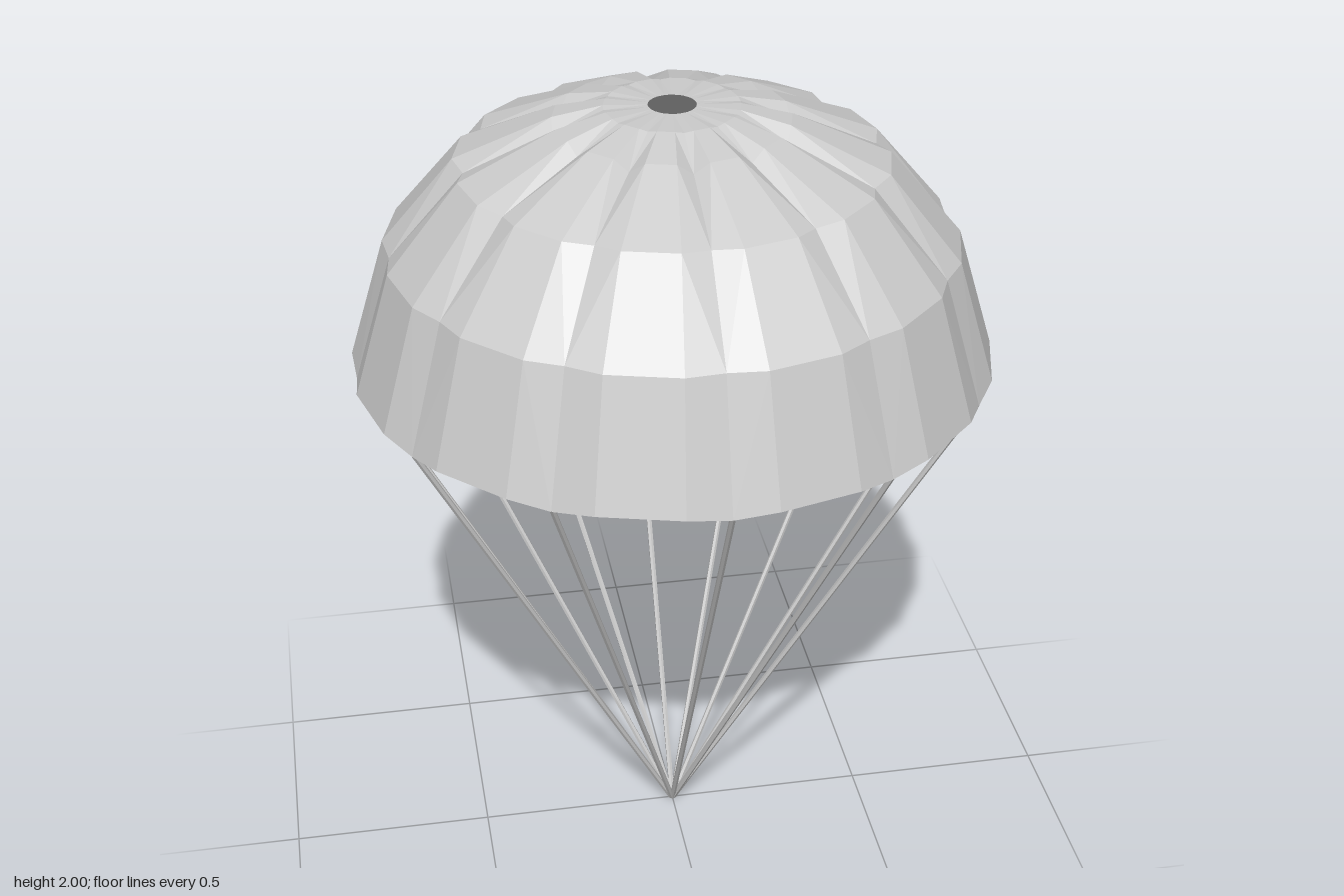
import * as THREE from 'three';

const GORES = 12;
const STEP = (Math.PI * 2) / GORES;
const BULGE = 0.134; // angle from a seam to the edge of the puffed panel

// Rings from hem to vent: [panel radius, panel y, seam radius, seam y]
const RINGS = [
  [0.757, 1.385, 0.745, 1.372],
  [0.667, 1.677, 0.651, 1.675],
  [0.497, 1.877, 0.474, 1.87],
  [0.27, 1.974, 0.27, 1.95],
  [0.155, 2.0, 0.155, 1.997],
  [0.055, 2.0, 0.055, 2.0],
];

const material = new THREE.MeshStandardMaterial({
  color: 0xcccccc, flatShading: true, side: THREE.DoubleSide,
});

// Creased dome: three columns per gore (seam, panel edge, panel edge)
function canopyGeometry() {
  const positions = [], index = [];
  const columns = GORES * 3;
  for (const [panelR, panelY, seamR, seamY] of RINGS) {
    for (let c = 0; c < columns; c++) {
      const k = c % 3;
      const angle = Math.floor(c / 3) * STEP + [0, BULGE, STEP - BULGE][k];
      const r = k === 0 ? seamR : panelR;
      positions.push(r * Math.sin(angle), k === 0 ? seamY : panelY, r * Math.cos(angle));
    }
  }
  for (let i = 0; i < RINGS.length - 1; i++) {
    for (let c = 0; c < columns; c++) {
      const n = (c + 1) % columns;
      const a = i * columns + c, b = i * columns + n;
      const d = a + columns, e = b + columns;
      // Mirror the diagonal on either side of a seam
      if (c % 3 === 2) index.push(a, b, d, b, e, d);
      else index.push(a, b, e, a, e, d);
    }
  }
  const geometry = new THREE.BufferGeometry();
  geometry.setAttribute('position', new THREE.Float32BufferAttribute(positions, 3));
  geometry.setIndex(index);
  geometry.computeVertexNormals();
  return geometry;
}

// Thin cord between two points
function cord(from, to, radius) {
  const along = to.clone().sub(from);
  const mesh = new THREE.Mesh(new THREE.CylinderGeometry(radius, radius, along.length(), 6), material);
  mesh.position.copy(from).addScaledVector(along, 0.5);
  mesh.quaternion.setFromUnitVectors(new THREE.Vector3(0, 1, 0), along.normalize());
  return mesh;
}

export function createModel() {
  const model = new THREE.Group();
  model.name = 'parachute';

  const canopy = new THREE.Mesh(canopyGeometry(), material);
  canopy.name = 'canopy';
  model.add(canopy);

  // One suspension line from each seam down to the meeting point
  const lines = new THREE.Group();
  lines.name = 'suspensionLines';
  const [, , seamR, seamY] = RINGS[0];
  for (let i = 0; i < GORES; i++) {
    const s = Math.sin(i * STEP), c = Math.cos(i * STEP);
    const line = cord(
      new THREE.Vector3(s * 0.004, 0.004, c * 0.004),
      new THREE.Vector3(s * (seamR - 0.005), seamY + 0.004, c * (seamR - 0.005)),
      0.007,
    );
    line.name = 'suspensionLine';
    lines.add(line);
  }
  model.add(lines);
  return model;
}
